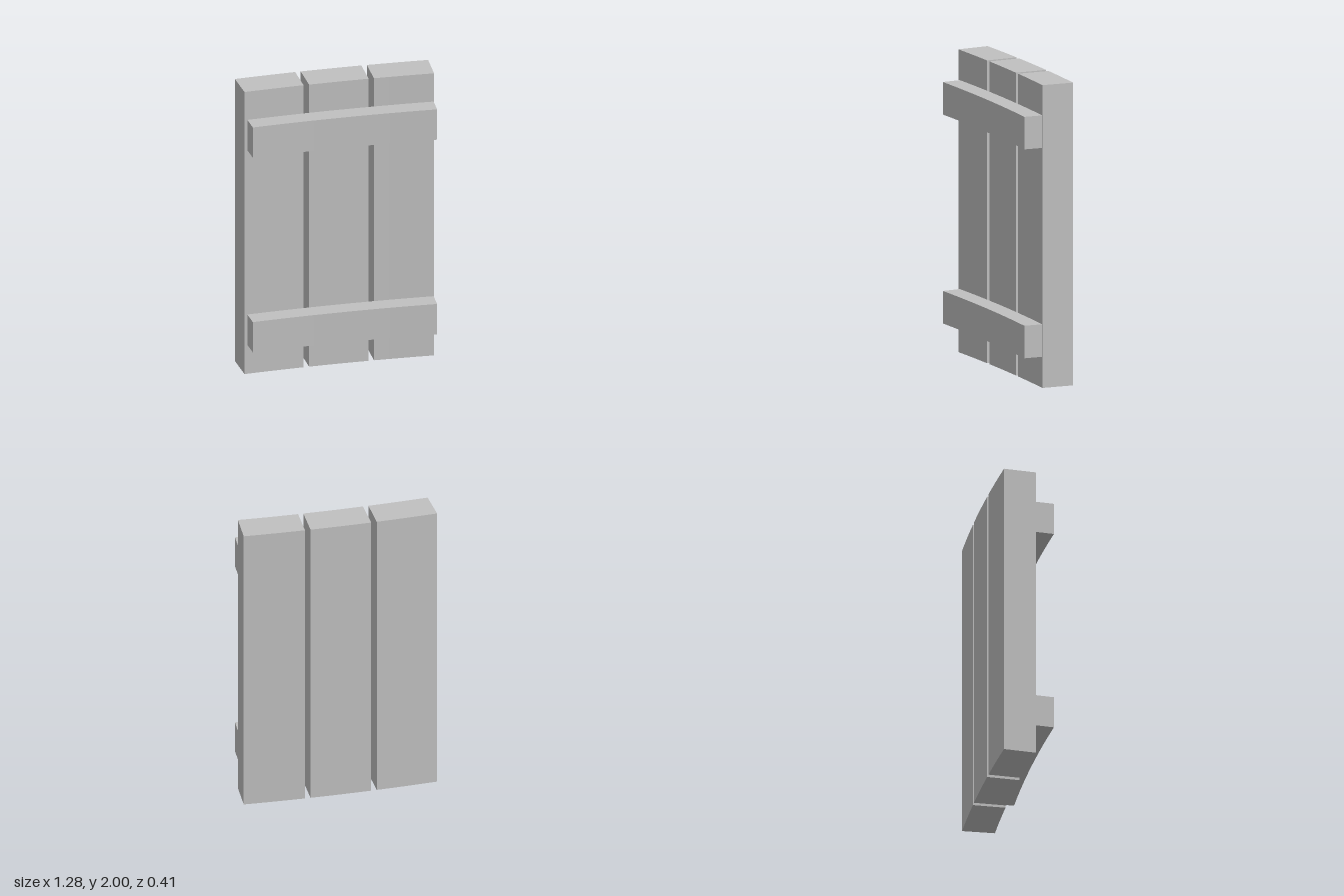
import * as THREE from 'three';

// All pieces follow one gentle bend about a vertical axis in front of the right end.
const BACK_RADIUS = 11.5;
const AXIS_X = 0.64;
const AXIS_Z = BACK_RADIUS - 0.205;

const wood = new THREE.MeshStandardMaterial({ color: 0xc0c0c0 });
wood.name = 'plainGrey';

// Bent bar: x0..x1 measured on its back face, z0..z1 taken at the right end
function bentBar(name, x0, x1, z0, z1, y0, y1, segments) {
  const outer = AXIS_Z - z0;
  const inner = AXIS_Z - z1;
  const a0 = Math.asin((x0 - AXIS_X) / outer);
  const a1 = Math.asin((x1 - AXIS_X) / outer);
  const point = (radius, t) => {
    const a = a0 + (a1 - a0) * t;
    // shape y is -z before the extrusion is stood upright
    return new THREE.Vector2(AXIS_X + radius * Math.sin(a), radius * Math.cos(a) - AXIS_Z);
  };
  const outline = [];
  for (let i = 0; i <= segments; i++) outline.push(point(inner, i / segments));
  for (let i = segments; i >= 0; i--) outline.push(point(outer, i / segments));

  const geometry = new THREE.ExtrudeGeometry(new THREE.Shape(outline), {
    depth: y1 - y0, bevelEnabled: false,
  });
  geometry.rotateX(-Math.PI / 2);
  geometry.translate(0, y0, 0);
  const mesh = new THREE.Mesh(geometry, wood);
  mesh.name = name;
  return mesh;
}

export function createModel() {
  const group = new THREE.Group();
  group.name = 'shutter';

  // Three upright planks with narrow gaps
  [[-0.643, -0.24], [-0.203, 0.2], [0.236, 0.64]].forEach(([x0, x1], i) => {
    group.add(bentBar(`plank${i + 1}`, x0, x1, -0.205, 0.01, 0, 2, 4));
  });

  // Two cross battens on the front
  group.add(bentBar('lowerBatten', -0.6, 0.637, 0.01, 0.135, 0.205, 0.42, 12));
  group.add(bentBar('upperBatten', -0.6, 0.637, 0.01, 0.135, 1.585, 1.8, 12));

  return group;
}
